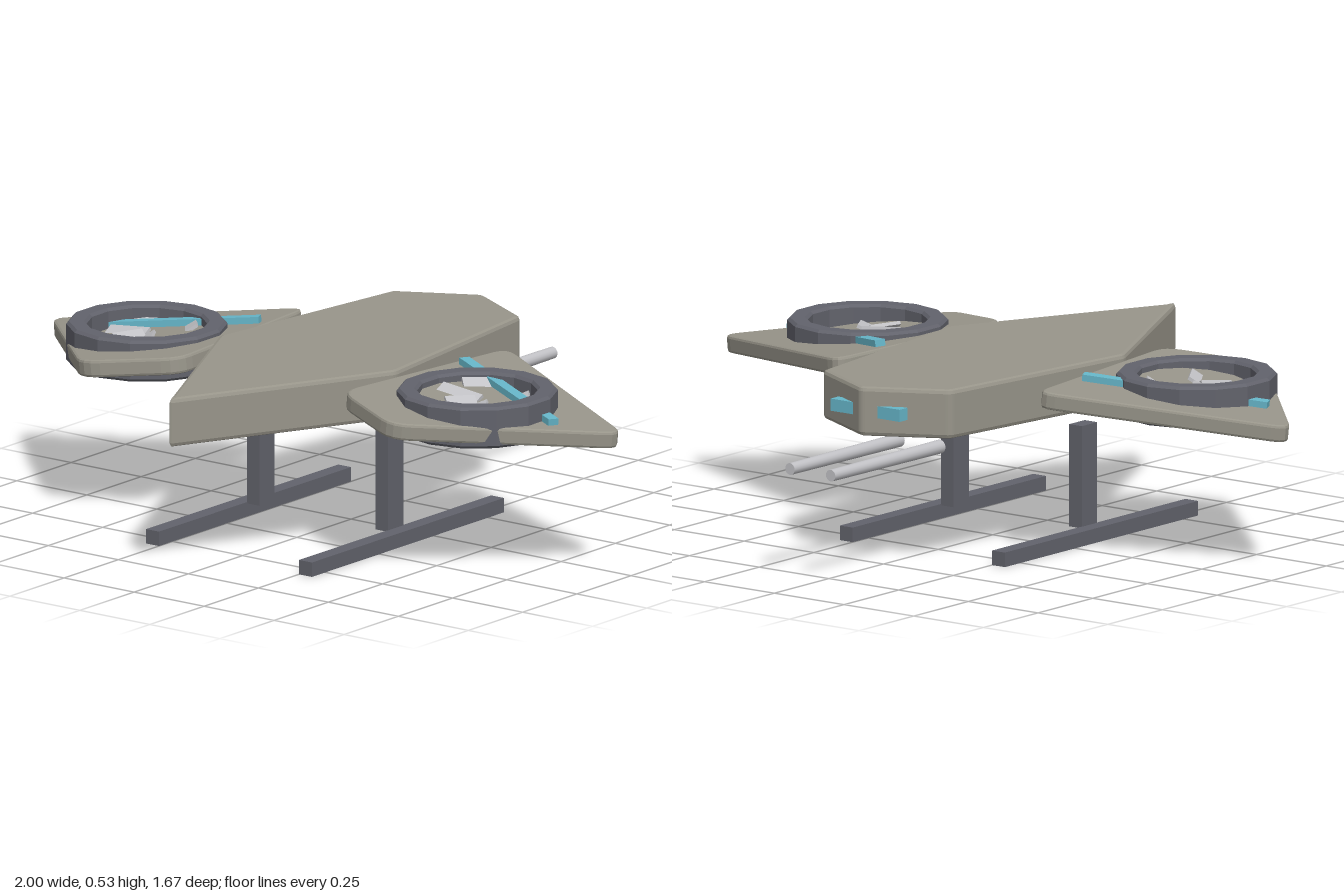
import * as THREE from 'three';

const mat = (name, color) => Object.assign(new THREE.MeshStandardMaterial({ color }), { name });

export function createModel() {
  const hull = mat('taupe hull', 0x98958a);
  const dark = mat('dark metal', 0x62636c);
  const teal = mat('teal glow', 0x66b6c9);
  const pale = mat('pale steel', 0xc2c2c6);
  const model = new THREE.Group();
  model.name = 'hoverCraft';

  const add = (parent, name, geometry, material, x = 0, y = 0, z = 0) => {
    const mesh = new THREE.Mesh(geometry, material);
    mesh.name = name;
    mesh.position.set(x, y, z);
    parent.add(mesh);
    return mesh;
  };

  // Flat plate with rounded corners and bevelled rims, from an x/z outline, centred on y = 0
  const plate = (pts, height, round, bevel) => {
    const v = pts.map(([x, z]) => new THREE.Vector2(x, z));
    const shape = new THREE.Shape();
    v.forEach((p, i) => {
      const prev = v[(i + v.length - 1) % v.length], next = v[(i + 1) % v.length];
      const a = p.clone().add(prev.clone().sub(p).setLength(round));
      const b = p.clone().add(next.clone().sub(p).setLength(round));
      if (i === 0) shape.moveTo(a.x, a.y); else shape.lineTo(a.x, a.y);
      shape.quadraticCurveTo(p.x, p.y, b.x, b.y);
    });
    shape.closePath();
    const depth = height - 2 * bevel;
    return new THREE.ExtrudeGeometry(shape, {
      depth, curveSegments: 4, bevelEnabled: true, bevelSize: bevel,
      bevelThickness: bevel, bevelOffset: -bevel, bevelSegments: 2,
    }).translate(0, 0, -depth / 2).rotateX(Math.PI / 2);
  };

  // Faceted ring with a closed profile
  const ring = (inner, outer, height, sides, c) => {
    const h = height / 2;
    const profile = [
      [inner, -h], [outer - c, -h], [outer, -h + c], [outer, h - c],
      [outer - c, h], [inner + c, h], [inner, h - c], [inner, -h],
    ].map(([r, y]) => new THREE.Vector2(r, y));
    const g = new THREE.LatheGeometry(profile, sides).toNonIndexed();
    g.computeVertexNormals();
    return g;
  };

  // Arrowhead body
  add(model, 'body', plate([
    [0, 0.84], [0.317, 0.2], [0.23, -0.485], [0, -0.608], [-0.23, -0.485], [-0.317, 0.2],
  ], 0.142, 0.015, 0.012), hull, 0, 0.46, 0);

  for (const s of [1, -1]) {
    const side = s > 0 ? 'left' : 'right';

    // Drooping wing, with everything mounted on its surface
    const wing = new THREE.Group();
    wing.name = side + 'Wing';
    wing.position.set(s * 0.59, 0.457, 0.18);
    wing.rotation.z = -s * 0.107;
    model.add(wing);
    const outline = [[0.352, -0.262], [1.025, 0.06], [0.555, 0.535], [0.283, 0.415]];
    add(wing, 'wingPanel',
      plate(outline.map(([x, z]) => [s * (x - 0.59), z - 0.18]), 0.05, 0.06, 0.008), hull);
    const strip = add(wing, 'lightStrip', new THREE.BoxGeometry(0.54, 0.022, 0.032),
      teal, s * 0.016, 0.033, -0.12);
    strip.rotation.y = -s * 0.42;

    // Tips of the pitched fan blades showing through the panel: x, z, length, heading
    [[-0.07, 0, 0.14, 0], [-0.09, -0.11, 0.08, 0.9], [0.07, -0.11, 0.08, -0.9],
      [-0.02, 0.05, 0.09, 1.0], [0.04, 0.05, 0.09, -1.0]].forEach(([x, z, len, turn]) => {
      const blade = add(wing, 'fanBlade', new THREE.BoxGeometry(len, 0.01, 0.05),
        pale, x, 0.026, z);
      blade.rotation.set(0.5, turn, 0, 'YXZ');
    });

    // Fan duct with its thruster ring underneath
    add(model, side + 'FanDuct', ring(0.17, 0.228, 0.12, 14, 0.008), dark, s * 0.59, 0.463, 0.18);
    add(model, side + 'ThrusterRing', ring(0.07, 0.172, 0.02, 24, 0.002), teal, s * 0.59, 0.42, 0.18);

    // Landing gear
    add(model, side + 'Strut', new THREE.BoxGeometry(0.045, 0.295, 0.07), dark, s * 0.23, 0.187, 0.12);
    add(model, side + 'Skid', new THREE.BoxGeometry(0.046, 0.042, 0.885), dark, s * 0.273, 0.023, 0.12);

    // Rear barrel and tail light
    add(model, side + 'Barrel', new THREE.CylinderGeometry(0.017, 0.02, 0.5, 16).rotateX(-Math.PI / 2),
      pale, s * 0.073, 0.323, -0.585);
    add(model, side + 'TailLight', new THREE.BoxGeometry(0.08, 0.035, 0.035), teal, s * 0.084, 0.46, -0.567);
  }
  return model;
}
